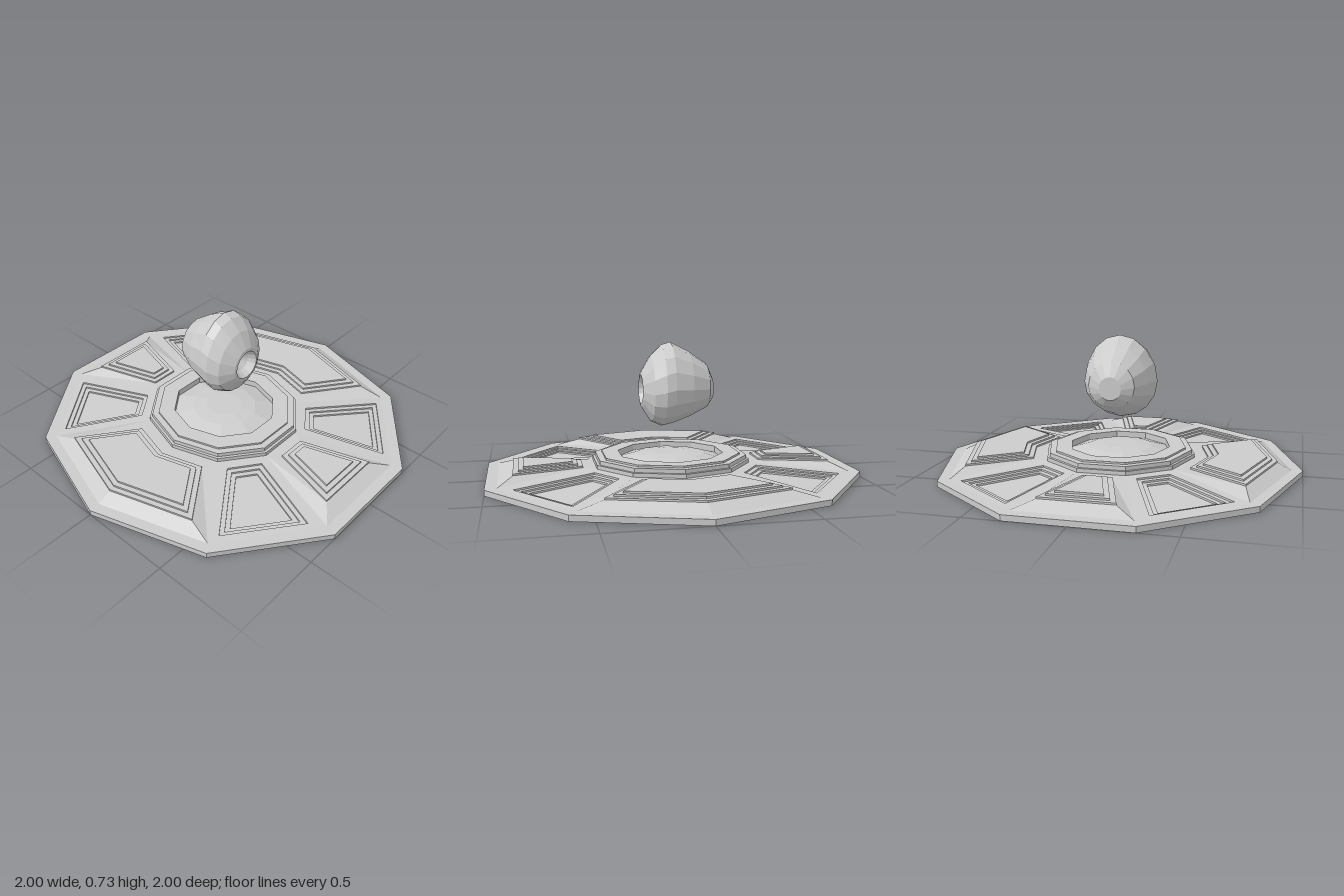
import * as THREE from 'three';

const material = new THREE.MeshStandardMaterial({ color: 0xcccccc, flatShading: true, side: THREE.DoubleSide });

// Skin through closed loops of [x, y, z] points, closed by a fan on the last loop
function loft(name, loops, cap = true) {
  const pos = [];
  const tri = (a, b, c) => pos.push(...a, ...b, ...c);
  const n = loops[0].length;
  for (let l = 0; l < loops.length - 1; l++) {
    const a = loops[l], b = loops[l + 1];
    for (let i = 0; i < n; i++) {
      const j = (i + 1) % n;
      tri(a[i], a[j], b[j]);
      tri(a[i], b[j], b[i]);
    }
  }
  if (cap) {
    const last = loops.at(-1);
    const mid = [0, 1, 2].map(k => last.reduce((s, p) => s + p[k], 0) / n);
    last.forEach((p, i) => tri(p, last[(i + 1) % n], mid));
  }
  const geo = new THREE.BufferGeometry();
  geo.setAttribute('position', new THREE.Float32BufferAttribute(pos, 3));
  geo.computeVertexNormals();
  const mesh = new THREE.Mesh(geo, material);
  mesh.name = name;
  return mesh;
}

// Corner k of the ten-sided plate at radius r
function corner(r, k, y) {
  const t = Math.PI / 2 - k * Math.PI / 5;
  return [1.051 * r * Math.cos(t), y, r * Math.sin(t)];
}
const decagon = (r, y) => Array.from({ length: 10 }, (_, k) => corner(r, k, y));

// Move every edge of a plan outline [x, z] inward by d
function inset(pts, d) {
  const n = pts.length;
  return pts.map((p, i) => {
    const a = pts[(i + n - 1) % n], b = pts[(i + 1) % n];
    const normal = (s, e) => {
      const len = Math.hypot(e[0] - s[0], e[1] - s[1]);
      return [(e[1] - s[1]) / len, -(e[0] - s[0]) / len];
    };
    const u = normal(a, p), v = normal(p, b);
    const k = d / (1 + u[0] * v[0] + u[1] * v[1]);
    return [p[0] + k * (u[0] + v[0]), p[1] + k * (u[1] + v[1])];
  });
}

// Stepped panel: sector border, then vertical risers and flat treads
function panelLoops(border, outline, height, step, tread) {
  const loops = [border];
  for (let s = 0; s < 3; s++) {
    const plan = inset(outline, s * tread);
    for (const up of [s, s + 1]) {
      loops.push(plan.map(([x, z]) => [x, height(x, z) + up * step, z]));
    }
  }
  return loops;
}

function mirrored(loops, sx, sz) {
  return loops.map(loop => {
    const out = loop.map(([x, y, z]) => [sx * x, y, sz * z]);
    return sx * sz < 0 ? out.reverse() : out;
  });
}

export function createModel() {
  const group = new THREE.Group();
  const low = 0.03, high = 0.067, outer = 0.94, inner = 0.42;

  // Plate edge
  group.add(loft('plateRim', [decagon(1, 0), decagon(1, low), decagon(outer, low)], false));

  const border = ks => [
    ...ks.map(k => corner(outer, k, low)),
    ...[...ks].reverse().map(k => corner(inner, k, high)),
  ];

  // Wide raised panels, front and back
  const wide = panelLoops(border([-1, 0, 1]),
    [[-0.45, 0.73], [0, 0.865], [0.45, 0.73], [0.23, 0.43], [0, 0.495], [-0.23, 0.43]],
    () => high, 0.0095, 0.027);
  group.add(loft('frontPanel', wide), loft('backPanel', mirrored(wide, -1, -1)));

  // Narrow raised panels on both sides
  const narrow = panelLoops(border([2, 3]),
    [[0.86, 0.19], [0.86, -0.19], [0.49, -0.08], [0.49, 0.08]],
    () => high, 0.0095, 0.027);
  group.add(loft('leftPanel', narrow), loft('rightPanel', mirrored(narrow, -1, -1)));

  // Sunken diagonal panels in sectors that slope up towards the middle
  const slope = (x, z) => {
    const t = 0.3 * Math.PI;
    const d = (x / 1.051) * Math.sin(t * 2 / 3 + Math.PI / 10) + z * Math.cos(t * 2 / 3 + Math.PI / 10);
    const c = Math.cos(Math.PI / 10);
    return low + (high - low) * (outer * c - d) / ((outer - inner) * c);
  };
  const sunk = panelLoops(border([1, 2]),
    [[0.59, 0.69], [0.86, 0.34], [0.44, 0.19], [0.33, 0.34]],
    slope, -0.0095, 0.024);
  for (const sx of [1, -1]) {
    for (const sz of [1, -1]) {
      const name = (sz > 0 ? 'front' : 'back') + (sx > 0 ? 'Left' : 'Right') + 'SunkenPanel';
      group.add(loft(name, mirrored(sunk, sx, sz)));
    }
  }

  // Stepped central ring with a shallow dome set into it
  const ring = [[0.42, high], [0.42, 0.088], [0.405, 0.088], [0.405, 0.11], [0.37, 0.11],
    [0.37, 0.12], [0.28, 0.12], [0.28, 0.085]];
  group.add(loft('centreRing', ring.map(([r, y]) => decagon(r, y)), false));
  group.add(loft('centreDome', [[0.28, 0.085], [0.18, 0.115], [0.1, 0.124]].map(([r, y]) => decagon(r, y))));

  // Floating pod: sections along x as [x, top, bottom, half width], ending in a conical pit
  const sections = [
    [-0.235, 0.47, 0.47, 0], [-0.235, 0.535, 0.41, 0.06], [-0.2, 0.61, 0.365, 0.125],
    [-0.1, 0.68, 0.315, 0.175], [0, 0.73, 0.278, 0.197], [0.05, 0.715, 0.268, 0.2],
    [0.11, 0.655, 0.295, 0.17], [0.16, 0.57, 0.375, 0.095], [0.163, 0.553, 0.392, 0.08],
    [0.12, 0.53, 0.415, 0.06], [0.06, 0.473, 0.473, 0],
  ];
  const podLoops = sections.map(([x, top, bottom, w]) => Array.from({ length: 16 }, (_, i) => {
    const a = i * Math.PI / 8, c = Math.cos(a);
    const mid = Math.min(top, Math.max(bottom, bottom + (top - bottom) * 0.46));
    return [x, mid + c * (c > 0 ? top - mid : mid - bottom), w * Math.sin(a)];
  }));
  group.add(loft('floatingPod', podLoops, false));

  return group;
}
